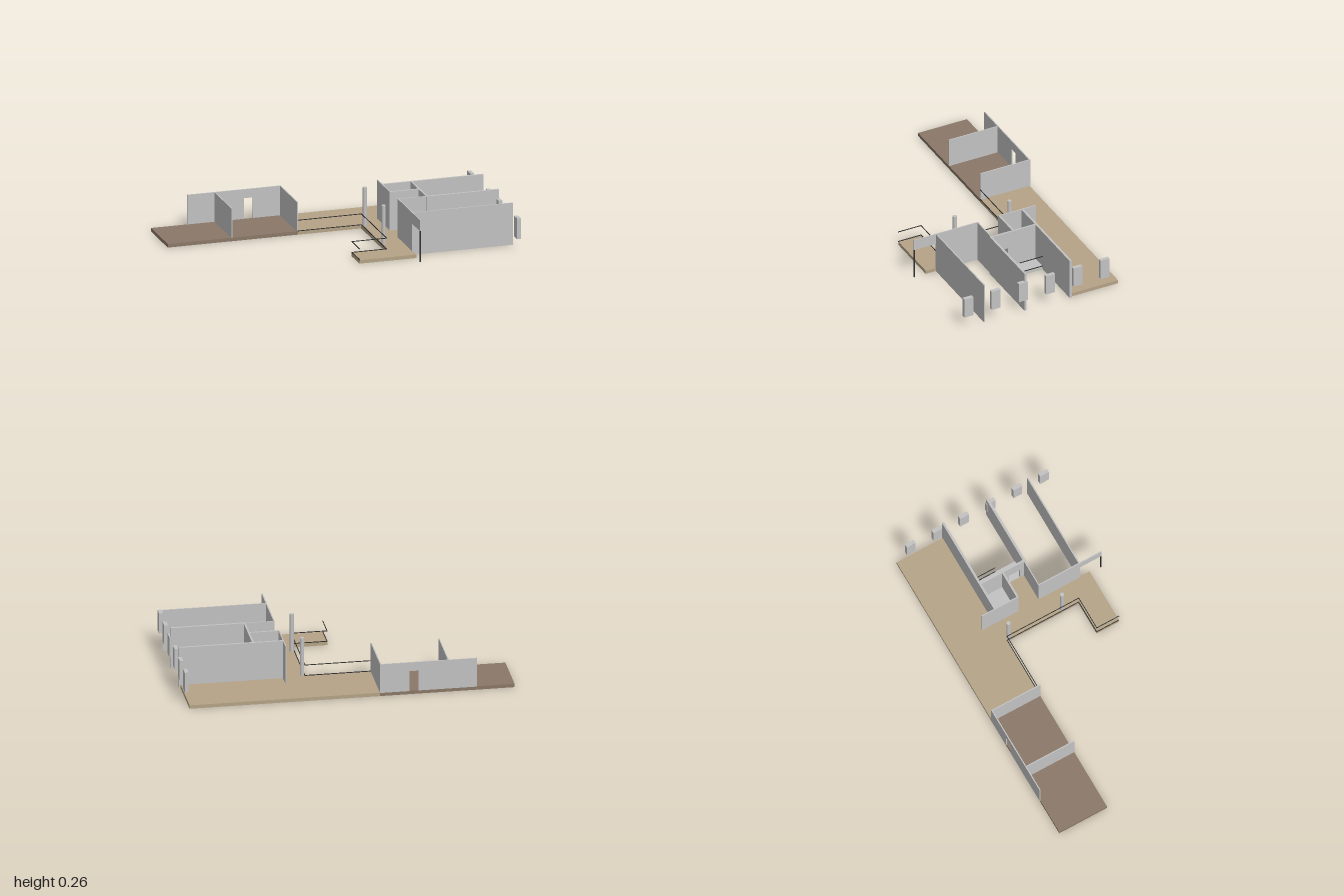
import * as THREE from 'three';

const mat = (name, color) => Object.assign(new THREE.MeshStandardMaterial({ color }), { name });

export function createModel() {
  const model = new THREE.Group();
  model.name = 'terracePlan';
  const wallGrey = mat('wallGrey', 0xc2c2c2);
  const deckTan = mat('deckTan', 0xb5a387);
  const deckBrown = mat('deckBrown', 0x8a7868);
  const railDark = mat('railDark', 0x2e2e2e);

  // Box given by its limits on each axis
  const box = (name, material, x0, x1, y0, y1, z0, z1) => {
    const mesh = new THREE.Mesh(new THREE.BoxGeometry(x1 - x0, y1 - y0, z1 - z0), material);
    mesh.position.set((x0 + x1) / 2, (y0 + y1) / 2, (z0 + z1) / 2);
    mesh.name = name;
    model.add(mesh);
    return mesh;
  };

  // Wall with a doorway, extruded from its outline; along x, or along z when turned
  const doorWall = (name, a, b, y0, y1, d0, d1, doorTop, thick) => {
    const s = new THREE.Shape();
    [[a, y0], [d0, y0], [d0, doorTop], [d1, doorTop], [d1, y0], [b, y0], [b, y1], [a, y1]]
      .forEach(([x, y], i) => (i ? s.lineTo(x, y) : s.moveTo(x, y)));
    s.closePath();
    const mesh = new THREE.Mesh(
      new THREE.ExtrudeGeometry(s, { depth: thick, bevelEnabled: false }), wallGrey);
    mesh.name = name;
    model.add(mesh);
    return mesh;
  };

  const F = 0.022; // floor height
  const H = 0.265; // tall wall height
  const L = 0.208; // low wall height

  // Floors
  box('brownDeck', deckBrown, -1, -0.18, 0, F, -0.53, -0.2);
  box('rearDeck', deckTan, -0.18, 0.98, 0, F, -0.53, -0.2);
  box('walkway', deckTan, 0.22, 0.36, 0, F, -0.2, 0.45);
  box('frontDeck', deckTan, 0, 0.22, 0, F, 0.295, 0.45);
  box('entryFloor', deckTan, 0.36, 0.535, 0, F, -0.045, 0.095);
  box('closetFloor', wallGrey, 0.36, 0.535, 0, F, -0.2, -0.055);
  box('landing', wallGrey, 0.535, 0.637, 0, F, -0.2, 0.095);

  // Low room on the brown deck
  doorWall('rearDoorWall', -0.77, -0.18, F, L, -0.415, -0.358, 0.152, 0.007).position.z = -0.535;
  box('roomWallInner', wallGrey, -0.187, -0.18, F, L, -0.53, -0.198);
  box('roomWallOuter', wallGrey, -0.6, -0.593, F, L, -0.53, -0.198);

  // Tall house walls
  box('rearHouseWall', wallGrey, 0.352, 0.99, 0, H, -0.212, -0.198);
  box('middleHouseWall', wallGrey, 0.535, 0.99, 0, H, 0.093, 0.108);
  box('middleWallThin', wallGrey, 0.357, 0.535, 0, H, 0.095, 0.102);
  box('frontHouseWall', wallGrey, 0.357, 0.99, 0, H, 0.374, 0.382);
  box('rearSideWall', wallGrey, 0.35, 0.357, F, H, -0.297, -0.045);
  box('frontSideWall', wallGrey, 0.355, 0.362, 0, H, 0.095, 0.382);
  box('closetWall', wallGrey, 0.357, 0.535, F, H, -0.056, -0.044);
  const inner = doorWall('innerDoorWall', -0.1, 0.2, F, H, -0.068, 0.01, 0.152, 0.012);
  inner.rotation.y = Math.PI / 2;
  inner.position.x = 0.532;

  // Overhead beam and its slim post
  box('beam', wallGrey, 0.355, 0.362, 0.195, H, 0.382, 0.53);
  box('beamPost', railDark, 0.355, 0.362, 0, 0.195, 0.524, 0.53);

  // Round columns
  for (const z of [-0.18, 0.19]) {
    const column = new THREE.Mesh(new THREE.CylinderGeometry(0.013, 0.013, H - F, 24), wallGrey);
    column.position.set(0.236, (H + F) / 2, z);
    column.name = 'column';
    model.add(column);
  }

  // Row of hanging panels along the end
  for (let i = 0; i < 6; i++) {
    const z = 0.487 - i * 0.184;
    box('panel', wallGrey, 0.974, 0.998, 0.078, L, z - 0.03, z + 0.03);
  }

  // Thin handrails and floor rails
  const r = 0.002;
  const rail = (x0, z0, x1, z1) => {
    for (const y of [0.092, F + r]) {
      box('rail', railDark, Math.min(x0, x1) - r, Math.max(x0, x1) + r, y - r, y + r,
        Math.min(z0, z1) - r, Math.max(z0, z1) + r);
    }
  };
  const path = [[-0.18, -0.198], [0.221, -0.198], [0.221, 0.297], [0.002, 0.297], [0.002, 0.45]];
  path.slice(1).forEach((p, i) => rail(...path[i], ...p));
  rail(0.637, -0.198, 0.637, -0.045);

  return model;
}
